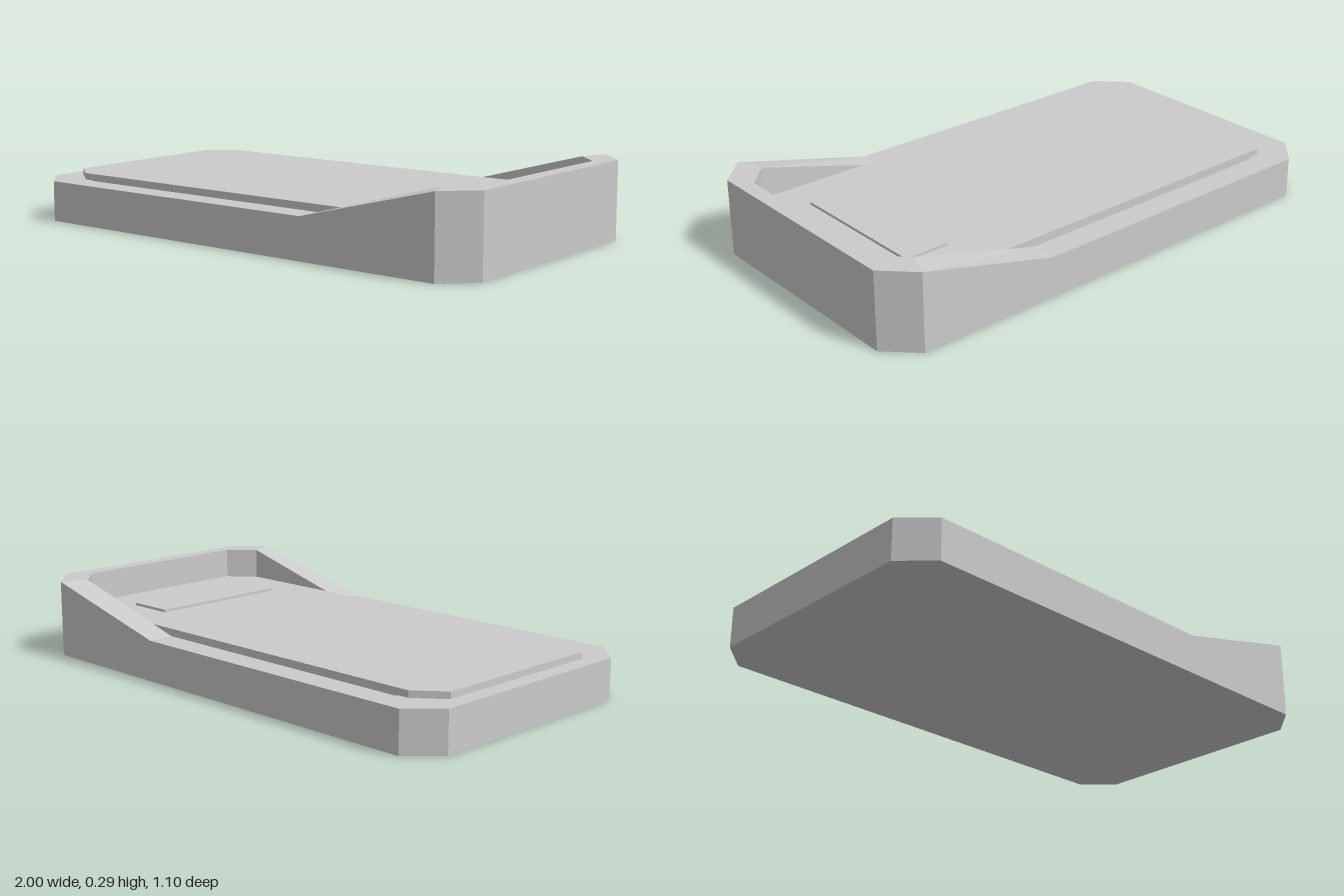
import * as THREE from 'three';

const material = new THREE.MeshStandardMaterial({ color: 0xcccccc, flatShading: true });

// Chamfered rectangle, counterclockwise from above, with an extra point at the ramp start.
// x0..x1 is the length, w the half width, cx and cz the corner cuts.
function outline(x0, x1, w, cx, cz, height, rampX = 0.34) {
  const front = [[x0, w - cz], [x0 + cx, w], [rampX, w], [x1 - cx, w], [x1, w - cz]];
  const back = front.map(([x, z]) => [x, -z]).reverse();
  return [...front, ...back].map(([x, z]) => new THREE.Vector3(x, height(x), z));
}

// Skin a series of matching outlines and close the first and last one.
function loft(rings) {
  const pos = [];
  const tri = (...points) => points.forEach((p) => pos.push(p.x, p.y, p.z));
  const n = rings[0].length;
  for (let r = 0; r < rings.length - 1; r++) {
    const a = rings[r], b = rings[r + 1];
    for (let i = 0; i < n; i++) {
      const j = (i + 1) % n;
      tri(a[i], a[j], b[j]);
      tri(a[i], b[j], b[i]);
    }
  }
  const first = rings[0], last = rings[rings.length - 1];
  for (let i = 1; i < n - 1; i++) {
    tri(first[0], first[i + 1], first[i]);
    tri(last[0], last[i], last[i + 1]);
  }
  const geometry = new THREE.BufferGeometry();
  geometry.setAttribute('position', new THREE.Float32BufferAttribute(pos, 3));
  geometry.computeVertexNormals();
  return geometry;
}

export function createModel() {
  const group = new THREE.Group();
  const add = (name, geometry) => {
    const mesh = new THREE.Mesh(geometry, material);
    mesh.name = name;
    group.add(mesh);
    return mesh;
  };
  const level = (y) => () => y;
  const rim = (x) => (x > 0.5 ? 0.295 : 0.155); // low rim, raised at the head end

  // Frame: outer wall, sloping rim, inner wall and recess floor
  add('frame', loft([
    outline(-1, 1, 0.55, 0.11, 0.11, level(0)),
    outline(-1, 1, 0.55, 0.11, 0.11, rim),
    outline(-0.87, 0.94, 0.45, 0.09, 0.09, rim),
    outline(-0.87, 0.94, 0.45, 0.09, 0.09, level(0.08)),
  ]));

  // Mattress: slab filling the recess and overlapping the low end of the rim
  add('mattress', loft([
    outline(-0.935, 0.935, 0.44, 0.105, 0.085, level(0.09)),
    outline(-0.935, 0.935, 0.44, 0.105, 0.085, level(0.18)),
  ]));

  // Pillow: thin pad lying on the mattress
  add('pillow', new THREE.BoxGeometry(0.18, 0.02, 0.57)).position.set(0.67, 0.18, 0);

  return group;
}
